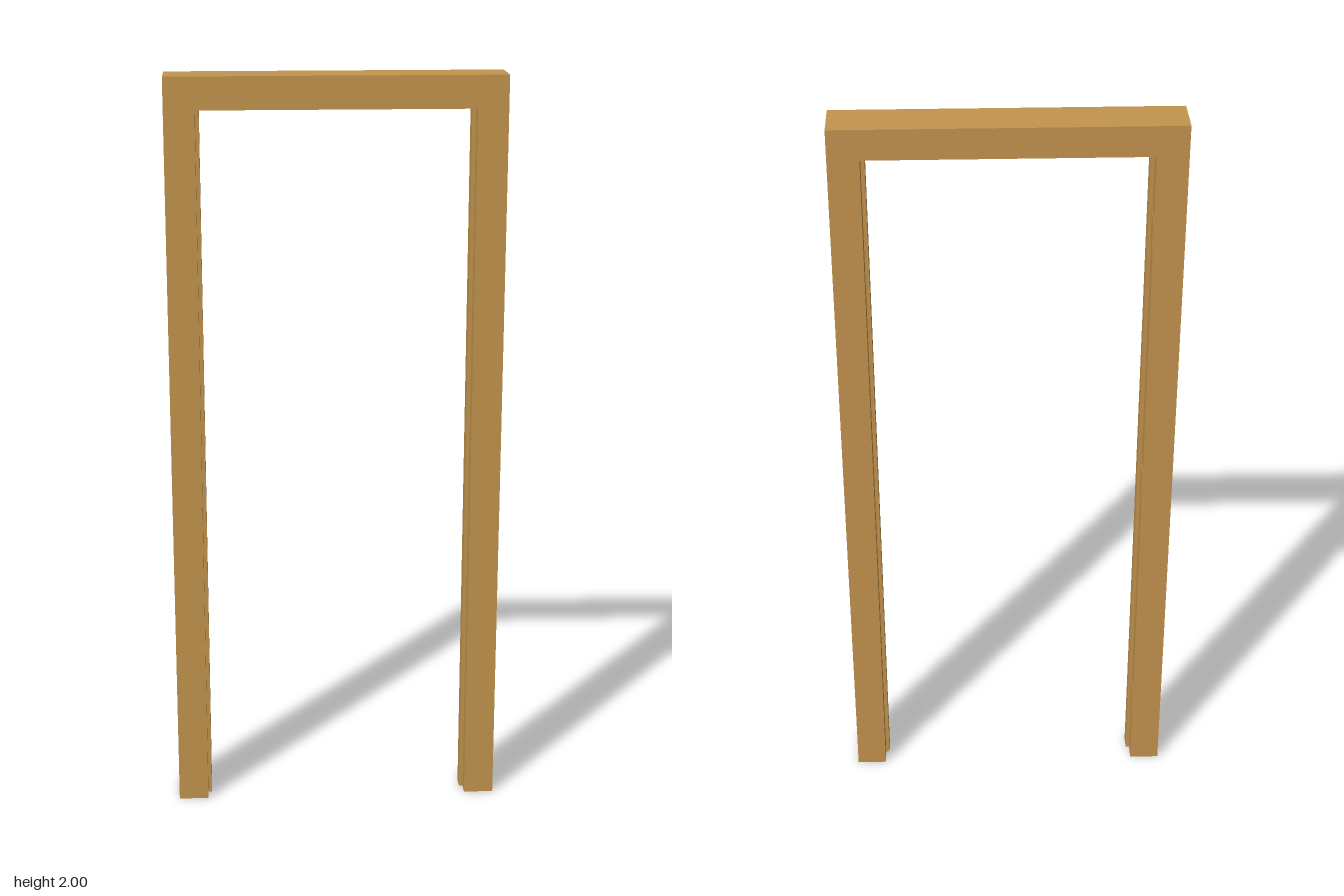
import * as THREE from 'three';

export function createModel() {
  const wood = new THREE.MeshStandardMaterial({ color: 0xc4954e });
  wood.name = 'warm wood';
  const model = new THREE.Group();
  model.name = 'doorFrame';

  const H = 2, HALF = 0.44, INNER = 0.36, TOP = 1.92, DEPTH = 0.122;
  const STOP_INNER = 0.35, STOP_TOP = 1.91, STOP_Z = -0.015, STOP_DEPTH = 0.038;

  // Upside-down U standing on the floor, extruded along z
  const arch = (name, outer, outerTop, inner, innerTop, z, depth) => {
    const s = new THREE.Shape([
      [-outer, 0], [-inner, 0], [-inner, innerTop], [inner, innerTop],
      [inner, 0], [outer, 0], [outer, outerTop], [-outer, outerTop],
    ].map(([x, y]) => new THREE.Vector2(x, y)));
    const geo = new THREE.ExtrudeGeometry(s, { depth, bevelEnabled: false });
    const mesh = new THREE.Mesh(geo, wood);
    mesh.name = name;
    mesh.position.z = z;
    model.add(mesh);
  };

  // Jambs and head, then the stop strip running around the opening
  arch('jambsAndHead', HALF, H, INNER, TOP, -DEPTH / 2, DEPTH);
  arch('doorStop', INNER, TOP, STOP_INNER, STOP_TOP, STOP_Z, STOP_DEPTH);

  // Thin hinge leaves in the rear rebate of one jamb
  for (const y of [1.71, 0.96, 0.21]) {
    const leaf = new THREE.Mesh(new THREE.BoxGeometry(0.002, 0.09, 0.044), wood);
    leaf.name = 'hingeLeaf';
    leaf.position.set(-INNER + 0.001, y, -0.038);
    model.add(leaf);
  }
  return model;
}
